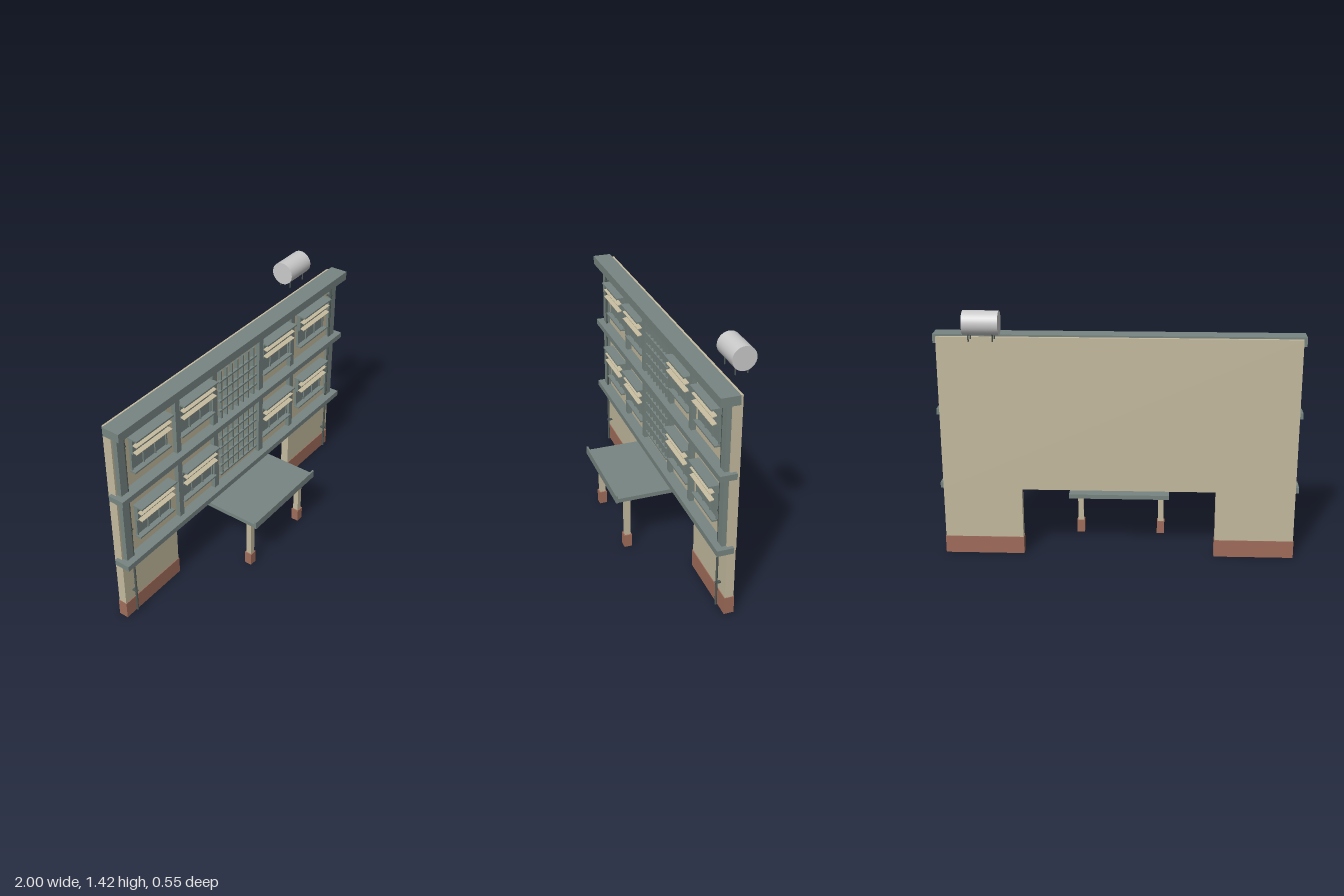
import * as THREE from 'three';

const mat = (name, color) => {
  const m = new THREE.MeshStandardMaterial({ color });
  m.name = name;
  return m;
};

export function createModel() {
  const model = new THREE.Group();
  model.name = 'building';
  const plaster = mat('cream plaster', 0xc4ba9e);
  const trim = mat('grey green trim', 0x778581);
  const brick = mat('brown plinth', 0xa06d5b);
  const metal = mat('tank metal', 0xcacaca);
  const dark = mat('dark pipe', 0x4f5a57);

  // Box given by its limits on each axis
  const box = (name, m, x0, x1, y0, y1, z0, z1, parent = model) => {
    const mesh = new THREE.Mesh(new THREE.BoxGeometry(x1 - x0, y1 - y0, z1 - z0), m);
    mesh.position.set((x0 + x1) / 2, (y0 + y1) / 2, (z0 + z1) / 2);
    mesh.name = name;
    parent.add(mesh);
    return mesh;
  };
  const rod = (name, m, r, x, y0, y1, z, parent = model) => {
    const mesh = new THREE.Mesh(new THREE.CylinderGeometry(r, r, y1 - y0, 10), m);
    mesh.position.set(x, (y0 + y1) / 2, z);
    mesh.name = name;
    parent.add(mesh);
  };

  // Main wall and horizontal beams
  box('upperWall', plaster, -0.98, 0.98, 0.39, 1.26, -0.13, -0.08);
  box('roofBeam', trim, -1, 1, 1.22, 1.27, -0.11, -0.007);
  box('middleBeam', trim, -1, 1, 0.817, 0.85, -0.11, -0.018);
  box('lowerBeam', trim, -1, 1, 0.385, 0.418, -0.11, -0.018);

  // Window with hood, two tilted louvres, sill and mullions
  const addWindow = (x, y) => {
    const g = new THREE.Group();
    g.name = 'window';
    g.position.set(x, y, 0);
    box('windowPanel', trim, -0.133, 0.133, 0, 0.2, -0.081, -0.073, g);
    box('windowHood', trim, -0.14, 0.14, 0.198, 0.207, -0.08, -0.018, g);
    box('windowSill', trim, -0.14, 0.14, -0.004, 0.005, -0.08, -0.042, g);
    for (const mx of [-0.131, -0.045, 0.045, 0.131])
      box('mullion', trim, mx - 0.004, mx + 0.004, 0, 0.2, -0.075, -0.066, g);
    for (const ly of [0.163, 0.12]) {
      const louvre = box('louvre', plaster, -0.135, 0.135, ly - 0.002, ly + 0.002, -0.054, -0.027, g);
      louvre.rotation.x = 0.2;
    }
    for (const s of [-1, 1])
      box('louvreBracket', trim, s * 0.134 - 0.003, s * 0.134 + 0.003, 0.11, 0.2, -0.075, -0.052, g);
    model.add(g);
  };

  for (const s of [-1, 1]) {
    // Ground floor wings with plinths
    const span = (a, b) => (s > 0 ? [a, b] : [-b, -a]);
    box('wingWall', plaster, ...span(0.54, 0.98), 0.1, 0.39, -0.128, -0.08);
    box('wingPlinth', brick, ...span(0.537, 0.983), 0, 0.1, -0.131, -0.076);

    // Pilasters
    for (const [a, b] of [[0.19, 0.228], [0.5, 0.535], [0.92, 0.968]])
      box('pilaster', trim, ...span(a, b), 0.41, 1.225, -0.082, -0.054);

    // Drainpipe with clips
    rod('drainpipe', dark, 0.006, s * 0.917, 0.02, 1.22, -0.058);
    for (const y of [0.16, 0.6, 1.13])
      box('pipeClip', dark, s * 0.917 - 0.008, s * 0.917 + 0.008, y - 0.004, y + 0.004, -0.08, -0.05);

    for (const x of [0.363, 0.728]) for (const y of [0.507, 0.937]) addWindow(s * x, y);

    // Porch column
    const c = s * 0.236;
    box('columnBase', brick, c - 0.022, c + 0.022, 0, 0.076, 0.177, 0.221);
    box('columnShaft', plaster, c - 0.016, c + 0.016, 0.076, 0.31, 0.183, 0.215);
    box('columnCapital', trim, c - 0.021, c + 0.021, 0.306, 0.32, 0.178, 0.22);
  }

  // Central grille
  const grille = new THREE.Group();
  grille.name = 'grille';
  for (let i = -3; i <= 3; i++)
    box('grilleUpright', trim, i * 0.0485 - 0.005, i * 0.0485 + 0.005, 0.465, 1.155, -0.08, -0.058, grille);
  for (let i = 0; i < 11; i++)
    box('grilleRail', trim, -0.17, 0.17, 0.466 + i * 0.0622, 0.476 + i * 0.0622, -0.07, -0.054, grille);
  model.add(grille);

  // Porch canopy with raised front lip
  box('canopy', trim, -0.282, 0.282, 0.32, 0.344, -0.08, 0.268);
  box('canopyLip', trim, -0.286, 0.286, 0.32, 0.365, 0.265, 0.275);

  // Water tank on four legs
  const tank = new THREE.Mesh(new THREE.CylinderGeometry(0.065, 0.065, 0.19, 32), metal);
  tank.rotation.z = Math.PI / 2;
  tank.position.set(0.717, 1.356, -0.206);
  tank.name = 'waterTank';
  model.add(tank);
  for (const x of [0.655, 0.782]) for (const z of [-0.173, -0.239])
    rod('tankLeg', dark, 0.004, x, 1.262, 1.32, z);

  return model;
}
